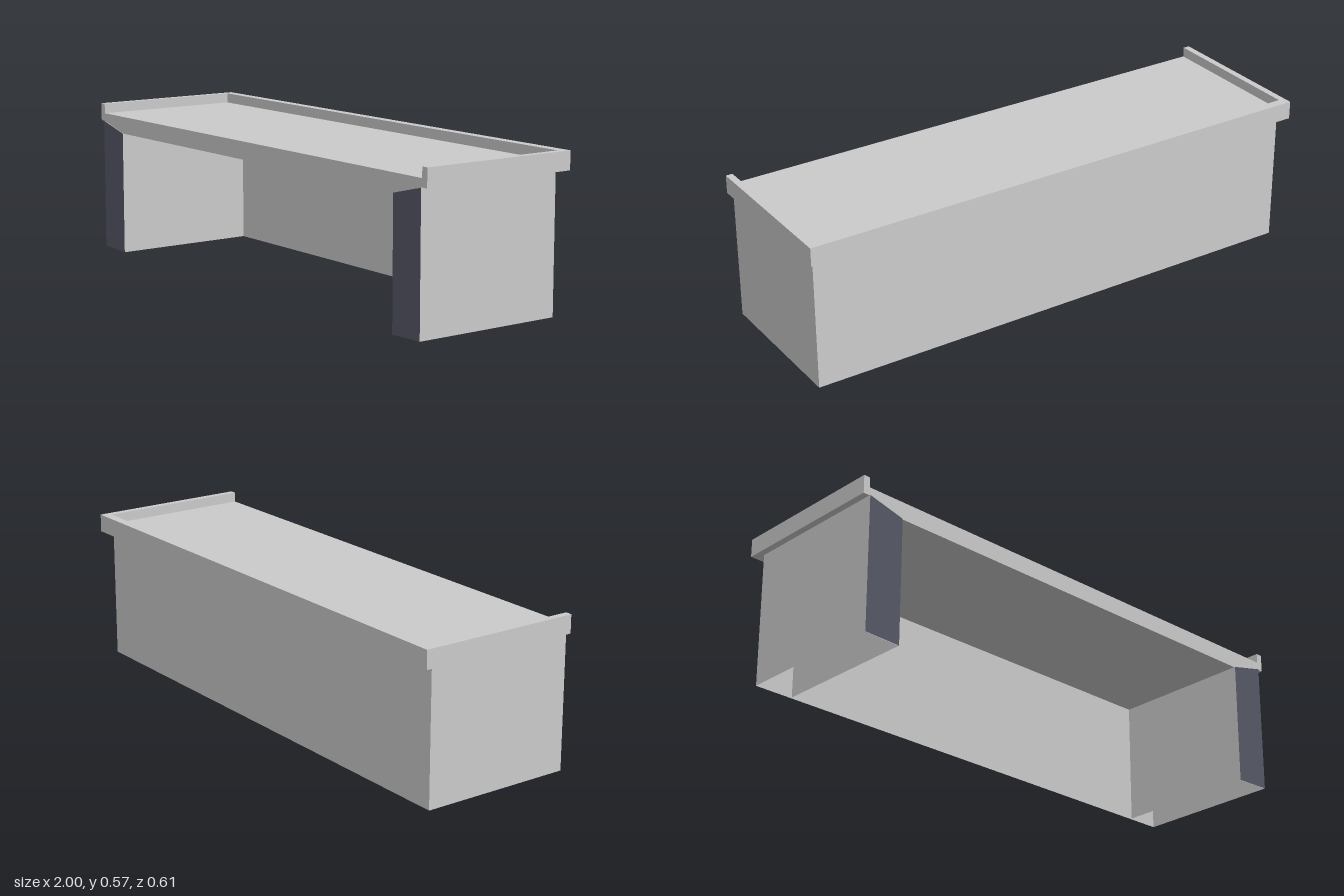
import * as THREE from 'three';

const grey = new THREE.MeshStandardMaterial({ color: 0xcccccc, side: THREE.DoubleSide });
const dark = new THREE.MeshStandardMaterial({ color: 0x565866 });

export function createModel() {
  const group = new THREE.Group();

  const add = (name, geometry, material = grey) => {
    const mesh = new THREE.Mesh(geometry, material);
    mesh.name = name;
    group.add(mesh);
    return mesh;
  };

  // Box given by its minimum and maximum corners
  const box = (name, [x0, y0, z0], [x1, y1, z1]) =>
    add(name, new THREE.BoxGeometry(x1 - x0, y1 - y0, z1 - z0))
      .position.set((x0 + x1) / 2, (y0 + y1) / 2, (z0 + z1) / 2);

  const outline = (points) => new THREE.Shape(points.map(([x, y]) => new THREE.Vector2(x, y)));

  // Flat sheet across x at depth z
  const sheet = (name, points, z, material) => {
    const mesh = add(name, new THREE.ShapeGeometry(outline(points)), material);
    mesh.position.z = z;
  };

  // Flat sheet across z at width x
  const sideSheet = (name, x, y0, y1, z0, z1) => {
    const mesh = add(name, new THREE.PlaneGeometry(z1 - z0, y1 - y0));
    mesh.rotation.y = Math.sign(x) * Math.PI / 2;
    mesh.position.set(x, (y0 + y1) / 2, (z0 + z1) / 2);
  };

  // Worktop with a raised rim on the back and sides
  box('worktop', [-0.975, 0.5, -0.272], [0.975, 0.53, 0.303]);
  box('backRim', [-1, 0.5, -0.307], [1, 0.567, -0.272]);
  for (const s of [-1, 1]) {
    box(s > 0 ? 'leftRim' : 'rightRim',
      [Math.min(s, s * 0.975), 0.5, -0.272], [Math.max(s, s * 0.975), 0.567, 0.303]);
  }

  // Thickened underside with sloping ends
  const apron = new THREE.ExtrudeGeometry(
    outline([[-0.835, 0.465], [0.835, 0.465], [0.975, 0.5], [-0.975, 0.5]]),
    { depth: 0.567, bevelEnabled: false });
  apron.translate(0, 0, -0.264);
  add('apron', apron);

  // Back panel and its inner lining
  sheet('backPanel', [[-0.975, 0.004], [0.975, 0.004], [0.975, 0.5], [-0.975, 0.5]], -0.266);
  sheet('backLining', [[-0.835, 0], [0.835, 0], [0.835, 0.466], [-0.835, 0.466]], -0.252);

  // Hollow pedestals, open underneath, with dark front faces
  for (const s of [-1, 1]) {
    const side = s > 0 ? 'left' : 'right';
    const front = [[s * 0.835, 0], [s * 0.975, 0.004], [s * 0.975, 0.5], [s * 0.835, 0.465]];
    sideSheet(side + 'OuterWall', s * 0.975, 0.004, 0.5, -0.266, 0.307);
    sideSheet(side + 'InnerWall', s * 0.835, 0, 0.465, -0.252, 0.307);
    sheet(side + 'FrontFace', front, 0.307, dark);
    sheet(side + 'FrontLining', front, 0.305);
  }

  return group;
}
